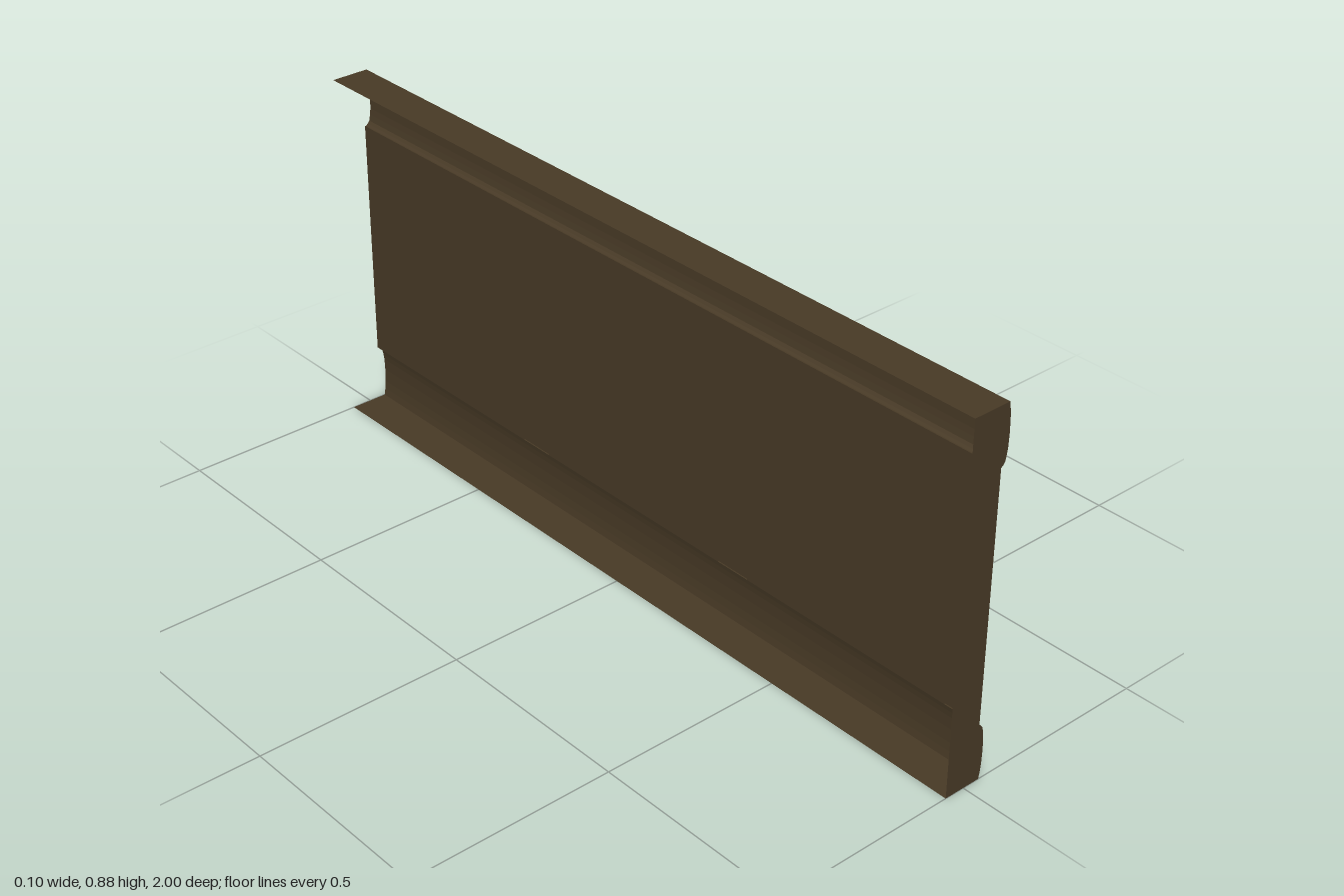
import * as THREE from 'three';

const HEIGHT = 0.877, HALF = 1, BACK = -0.05;
const FIELD_X = 0.031, STILE_X = 0.034, RAIL_H = 0.14;
const MODULE = 2 / 3, STILE_W = 0.092;

// Moulding section, from the open back round to the panel
const railProfile = [
  [BACK, 0], [0.044, 0], [0.047, 0.018], [0.049, 0.038], [0.05, 0.07], [0.049, 0.1],
  [0.047, 0.115], [0.044, 0.13], [0.039, 0.136], [0.034, 0.14], [FIELD_X, 0.14],
];
const topProfile = railProfile.map(([x, y]) => [x, HEIGHT - y]).reverse();

// Open strip of flat faces: each point is swept between sides a and b
function ribbon(points, a, b) {
  const pos = [];
  for (let i = 0; i < points.length - 1; i++) {
    const [a0, b0, b1, a1] = [a(points[i]), b(points[i]), b(points[i + 1]), a(points[i + 1])];
    pos.push(...a0, ...b0, ...b1, ...a0, ...b1, ...a1);
  }
  const geo = new THREE.BufferGeometry();
  geo.setAttribute('position', new THREE.Float32BufferAttribute(pos, 3));
  geo.computeVertexNormals();
  return geo;
}

const sweepRail = (profile) =>
  ribbon(profile, ([x, y]) => [x, y, HALF], ([x, y]) => [x, y, -HALF]);
const raiseWall = (plan) =>
  ribbon(plan, ([x, z]) => [x, HEIGHT - RAIL_H, z], ([x, z]) => [x, RAIL_H, z]);

export function createModel() {
  const group = new THREE.Group();
  group.name = 'wallPanelling';
  const wood = new THREE.MeshStandardMaterial({ color: 0x483a26 });
  wood.name = 'darkWood';
  wood.side = THREE.DoubleSide;
  wood.flatShading = true;

  const add = (name, geo) => {
    const mesh = new THREE.Mesh(geo, wood);
    mesh.name = name;
    group.add(mesh);
    return mesh;
  };

  // Rails include the floor and top ledges
  add('bottomRail', sweepRail(railProfile));
  add('topRail', sweepRail(topProfile));

  // Three bays, each a raised stile followed by a flat panel
  for (let i = 0; i < 3; i++) {
    const z0 = HALF - i * MODULE, z1 = z0 - STILE_W, z2 = z0 - MODULE;
    add(`stile${i + 1}`, raiseWall([[FIELD_X, z0], [STILE_X, z0], [STILE_X, z1], [FIELD_X, z1]]));
    add(`panel${i + 1}`, raiseWall([[FIELD_X, z1], [FIELD_X, z2]]));
  }

  // Only the front end is closed; the far end and the back stay open
  const outline = [...railProfile.slice(0, -1), ...topProfile.slice(1)];
  const cap = new THREE.Shape(outline.map(([x, y]) => new THREE.Vector2(x, y)));
  add('endCap', new THREE.ShapeGeometry(cap)).position.z = HALF;

  return group;
}
